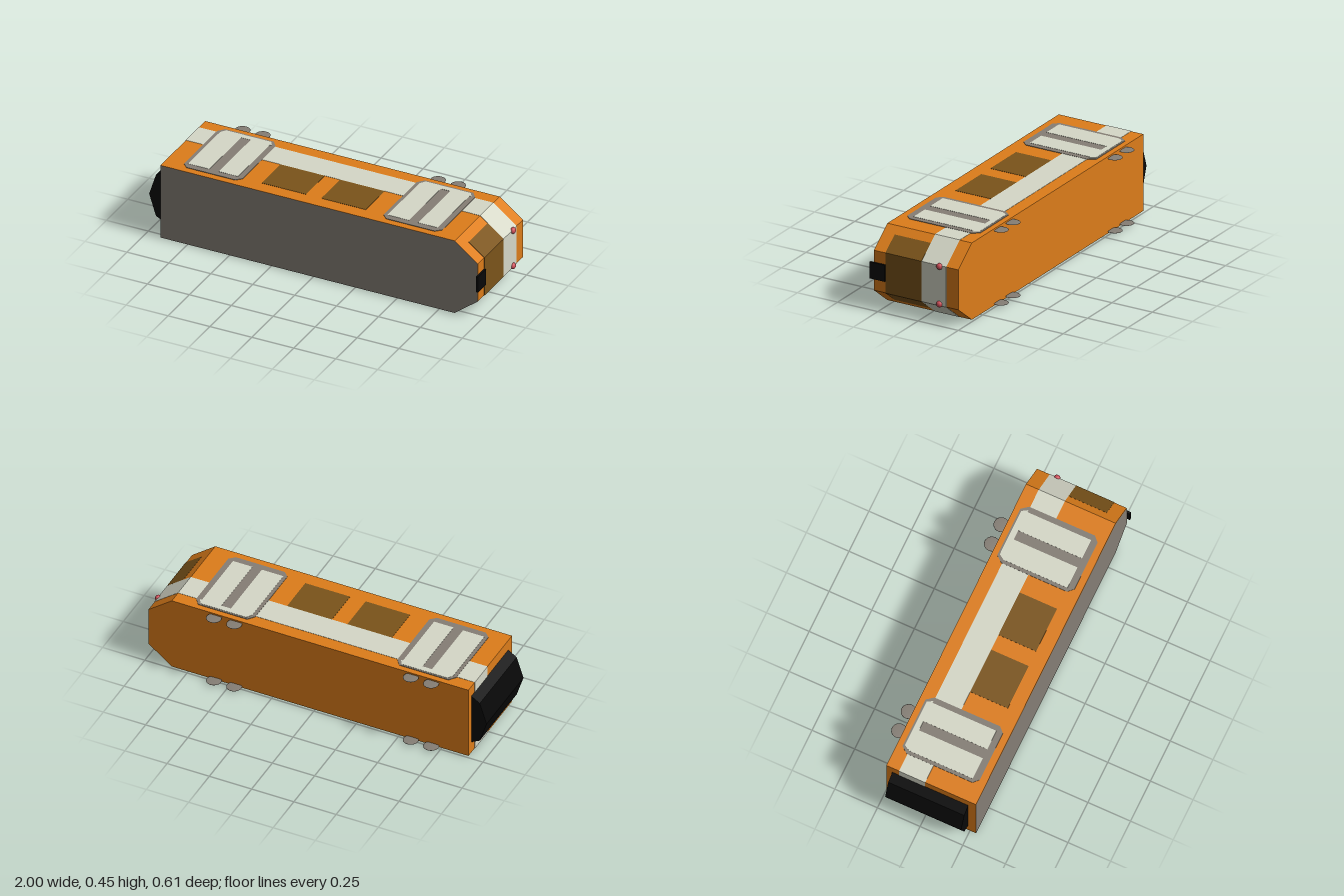
import * as THREE from 'three';

const mat = (color) => new THREE.MeshStandardMaterial({ color });
const MID = 0.225; // mirror plane between the two long sides

function shapeOf(points) {
  return new THREE.Shape(points.map(([x, y]) => new THREE.Vector2(x, y)));
}

// Body outline across x and y, grown outwards by d
function outline(d) {
  return [[-0.91 - d, 0.004 - d], [0.845, 0.004 - d], [0.983 + d, 0.11 - d / 2],
    [0.983 + d, 0.34 + d / 2], [0.845, 0.446 + d], [-0.91 - d, 0.446 + d]];
}

// Prism of an x-y outline between two z values
function prism(points, z0, z1) {
  const geo = new THREE.ExtrudeGeometry(shapeOf(points), { depth: z1 - z0, bevelEnabled: false });
  return geo.translate(0, 0, z0);
}

// Flat plate from an x-z outline, its outer face at height y
function plate(points, y, thickness = 0.006) {
  const geo = new THREE.ExtrudeGeometry(shapeOf(points), { depth: thickness, bevelEnabled: false });
  return geo.rotateX(Math.PI / 2).translate(0, y, 0);
}

const rect = (x0, x1, z0, z1) => [[x0, z0], [x1, z0], [x1, z1], [x0, z1]];

export function createModel() {
  const model = new THREE.Group();
  const orange = mat(0xdd7d1a), cream = mat(0xd6d8c8), brown = mat(0x7b541a);
  const grey = mat(0x857e75), black = mat(0x080808), red = mat(0xd0505a);

  function add(name, geo, material, parent = model) {
    const mesh = new THREE.Mesh(geo, material);
    mesh.name = name;
    parent.add(mesh);
    return mesh;
  }

  // Car body with roof skin and the stripe running all round
  add('body', prism(outline(0), -0.24, 0.285), orange);
  add('roof', new THREE.ShapeGeometry(shapeOf(outline(0))).translate(0, 0, 0.287), grey);
  add('stripe', prism(outline(0.0015), -0.165, -0.012), cream);

  // Windscreen wrapping over the tapered nose
  add('windscreen', prism([[0.89, 0.037], [0.985, 0.109], [0.985, 0.341], [0.89, 0.413]], -0.012, 0.212), brown);

  // Folding gangway at the rear
  add('gangway', prism([[-0.905, 0.07], [-0.905, 0.385], [-0.96, 0.35], [-1, 0.225], [-0.96, 0.1]], -0.205, 0.24), black);

  // Destination box on the nose
  add('destinationBox', new THREE.BoxGeometry(0.012, 0.095, 0.094).translate(0.988, MID, 0.258), black);

  // Lamps
  for (const y of [0.118, 0.335]) {
    const lamp = add('lamp', new THREE.SphereGeometry(0.018, 20, 14), red);
    lamp.scale.x = 0.85;
    lamp.position.set(0.984, y, -0.123);
  }

  // Windows, doors and wheels, built once per side
  for (const side of [1, -1]) {
    const group = new THREE.Group();
    group.name = side > 0 ? 'upperSide' : 'lowerSide';
    group.position.y = MID;
    if (side < 0) group.rotation.x = Math.PI;
    model.add(group);
    // The far side is turned over, so its z values are negated
    const place = (name, pts, y, material) =>
      add(name, plate(pts.map(([x, z]) => [x, z * side]), y), material, group);

    for (const [x0, x1] of [[-0.345, -0.082], [0.01, 0.275]]) {
      place('window', rect(x0, x1, -0.012, 0.208), 0.2225, brown);
    }

    for (const x of [-0.63, 0.56]) {
      place('doorFrame', [[x - 0.145, -0.208], [x + 0.145, -0.208], [x + 0.175, -0.17], [x + 0.175, 0.215],
        [x + 0.145, 0.245], [x - 0.145, 0.245], [x - 0.175, 0.215], [x - 0.175, -0.17]], 0.2238, grey);
      place('doorHeader', [[x - 0.135, -0.198], [x + 0.135, -0.198], [x + 0.155, -0.166], [x - 0.155, -0.166]], 0.225, cream);
      place('doorLeaf', rect(x - 0.155, x - 0.028, -0.166, 0.208), 0.225, cream);
      place('doorLeaf', rect(x + 0.028, x + 0.143, -0.166, 0.208), 0.225, cream);
    }

    // Thin wheels, half hidden under the floor
    for (const x of [-0.7, -0.58, 0.465, 0.585]) {
      const wheel = add('wheel', new THREE.SphereGeometry(0.042, 24, 12), grey, group);
      wheel.scale.y = 0.06;
      wheel.position.set(x, 0.21, -0.263 * side);
    }
  }
  return model;
}
